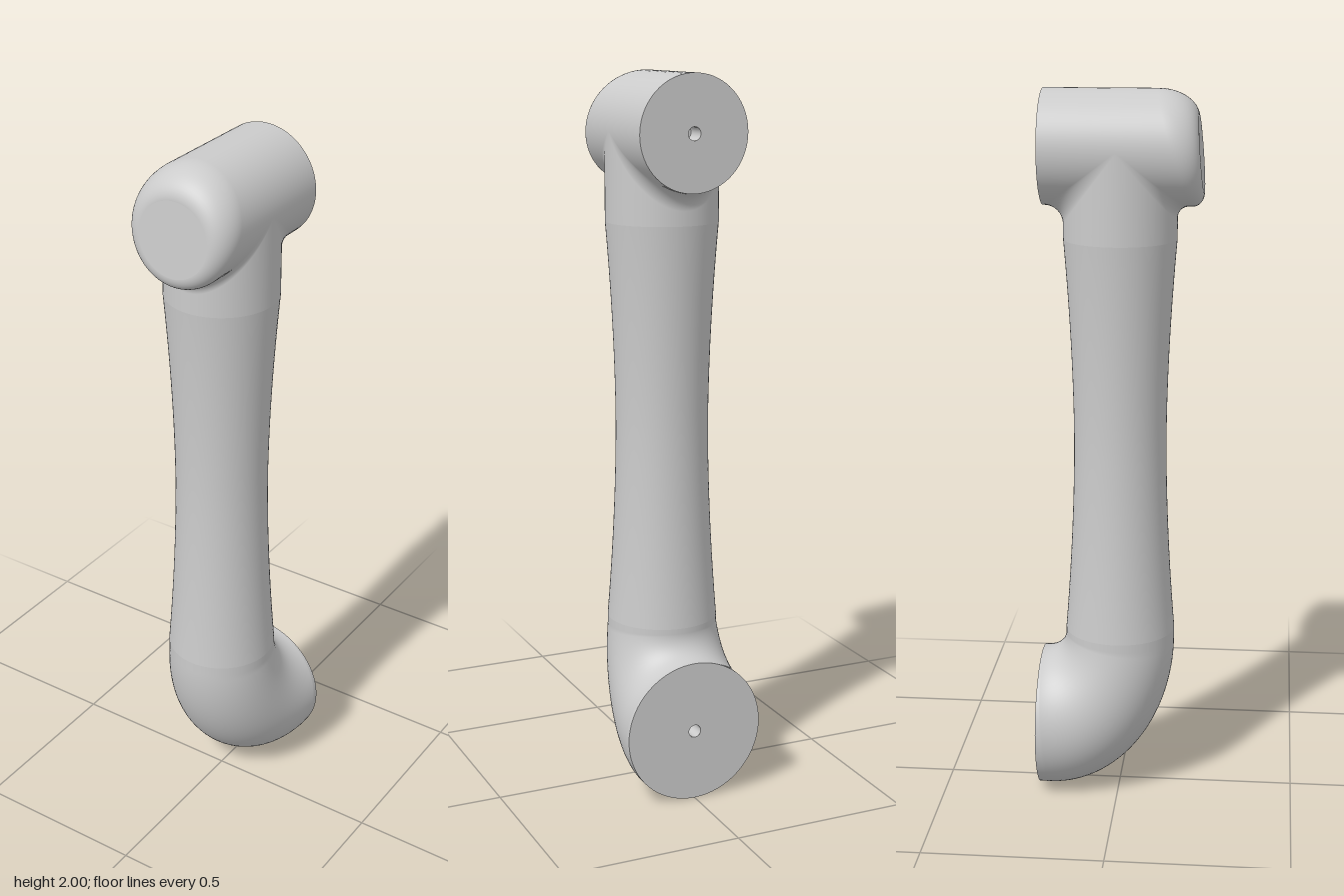
import * as THREE from 'three';
import { ParametricGeometry } from 'three/addons/geometries/ParametricGeometry.js';

const R = 0.155;            // barrel and column end radius
const YC = 1.845;           // barrel axis height
const BACK_TOP = -0.207, BACK_LOW = -0.225;
const { lerp, clamp } = THREE.MathUtils;

export function createModel() {
  const group = new THREE.Group();
  const grey = new THREE.MeshStandardMaterial({ color: 0xcccccc });
  const inner = new THREE.MeshStandardMaterial({ color: 0xcccccc, side: THREE.BackSide });

  const add = (name, geometry, material = grey) => {
    const mesh = new THREE.Mesh(geometry, material);
    mesh.name = name;
    group.add(mesh);
    return mesh;
  };
  // Skin swept around an angle a, along v from 0 to 1
  const skin = (name, fn, rows) => add(name, new ParametricGeometry(
    (u, v, p) => fn(u * Math.PI * 2, v, p), 72, rows));

  // Waisted column
  const profile = [];
  for (let i = 0; i <= 32; i++) {
    const t = i / 16 - 1;
    profile.push(new THREE.Vector2(0.129 + 0.026 * Math.pow(Math.abs(t), 1.8), 1.04 + 0.56 * t));
  }
  add('column', new THREE.LatheGeometry(profile, 72));

  // Column neck, filleted into the underside of the barrel
  skin('neck', (a, v, p) => {
    const s = Math.abs(Math.sin(a)), dir = -Math.sign(Math.sin(a));
    const f = (dir > 0 ? 0.03 : 0.048) * s + 0.002;
    const top = YC - R * s;
    const t = clamp((v - 0.25) / 0.75, 0, 1) * Math.PI / 2;
    const y = v < 0.25 ? lerp(1.6, top - f, v * 4) : top - f + f * Math.sin(t);
    p.set(R * Math.cos(a), y, -R * Math.sin(a) + dir * f * (1 - Math.cos(t)));
  }, 16);

  // Barrel with a leaning front face; the rounded rim is fuller at the top
  const faceZ = (r, a) => 0.217 - 0.08 * r * Math.sin(a);
  const inset = a => 0.055 + 0.02 * Math.sin(a);
  const depth = a => 0.07 + 0.04 * Math.sin(a);
  const rimStart = a => faceZ(R - inset(a), a) - depth(a);
  const ring = (p, r, a, z) => p.set(r * Math.cos(a), YC + r * Math.sin(a), z);

  skin('barrel', (a, v, p) => ring(p, R, a, lerp(BACK_TOP, rimStart(a), v)), 6);
  skin('capRim', (a, v, p) => {
    const t = v * Math.PI / 2;
    ring(p, R - inset(a) * (1 - Math.cos(t)), a, rimStart(a) + depth(a) * Math.sin(t));
  }, 14);
  skin('capFace', (a, v, p) => {
    const r = (R - inset(a)) * (1 - v);
    ring(p, r, a, faceZ(r, a));
  }, 4);

  // Elbow: sections span from the outer bend to the tight inner bend
  skin('elbow', (a, v, p) => {
    const w = v * 1.2 - 0.1;
    const s = clamp(w, 0, 1), q = s * Math.PI / 2;
    const lead = clamp(-w / 0.1, 0, 1), tail = clamp((w - 1) / 0.1, 0, 1);
    const place = (z, y) => [lerp(z, BACK_LOW, tail), lerp(y, 0.48, lead)];
    const [oz, oy] = place(-0.19 + 0.345 * Math.cos(q), 0.45 - 0.45 * Math.sin(q));
    const [iz, iy] = place(-0.22 + 0.065 * Math.cos(q), 0.465 - 0.065 * Math.sin(q));
    const k = 0.5 + 0.5 * Math.sin(a);
    p.set(lerp(R, 0.2, s) * Math.cos(a), lerp(iy, oy, k), lerp(iz, oz, k));
  }, 36);

  // Flat mounting faces at the back, each with a small blind hole
  const HOLE = 0.018, DEEP = 0.06;
  for (const [name, y, z, r] of [['upper', YC, BACK_TOP, R], ['lower', 0.2, BACK_LOW, 0.2]]) {
    const face = add(name + 'MountFace', new THREE.RingGeometry(HOLE, r, 72));
    face.rotation.y = Math.PI;
    face.position.set(0, y, z);
    const hole = add(name + 'MountHole',
      new THREE.CylinderGeometry(HOLE, HOLE, DEEP, 24, 1, true), inner);
    hole.rotation.x = Math.PI / 2;
    hole.position.set(0, y, z + DEEP / 2);
    const floor = add(name + 'HoleFloor', new THREE.CircleGeometry(HOLE, 24));
    floor.rotation.y = Math.PI;
    floor.position.set(0, y, z + DEEP);
  }
  return group;
}
